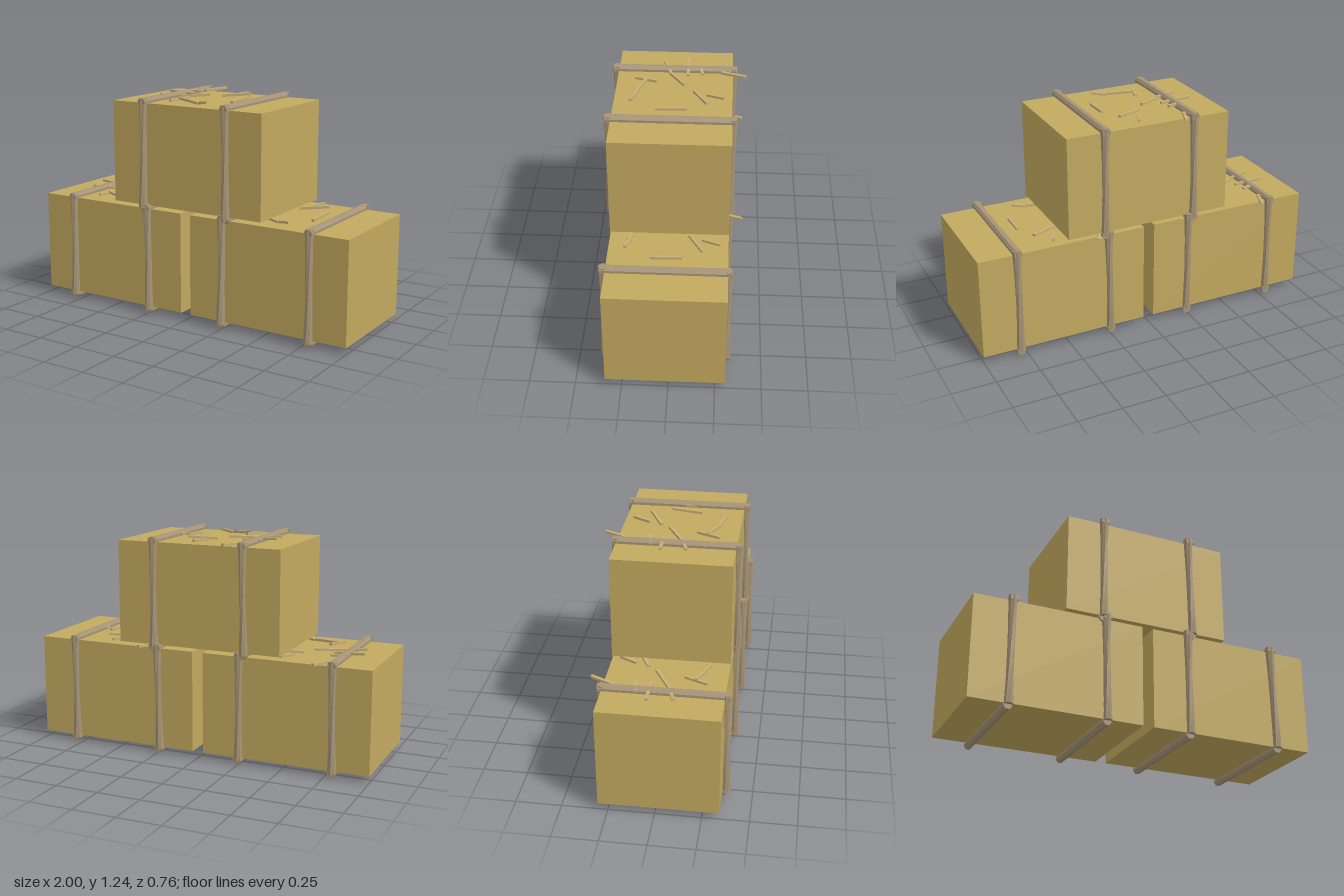
import * as THREE from 'three';

const hay = new THREE.MeshStandardMaterial({ color: 0xc2a95f });
hay.name = 'hay';
const cord = new THREE.MeshStandardMaterial({ color: 0xa69476 });
cord.name = 'cord';
const straw = new THREE.MeshStandardMaterial({ color: 0xc6ae74 });
straw.name = 'straw';

// Chamfered strap section, counter-clockwise, in (side, outward) units
const SECTION = [[-0.5, -0.5], [0.5, -0.5], [0.5, 0.05], [0.24, 0.5], [-0.24, 0.5], [-0.5, 0.05]];

// Faceted bar from a to b; it can twist along its length and narrow in the middle
function strapGeometry(a, b, outward, w, h, twist = 0, waist = 1) {
  const from = new THREE.Vector3(...a), to = new THREE.Vector3(...b);
  const dir = to.clone().sub(from).normalize();
  const side = new THREE.Vector3(...outward).cross(dir).normalize();
  const out = dir.clone().cross(side);
  const steps = twist ? 6 : 1, n = SECTION.length;
  const pos = [], index = [];
  for (let k = 0; k <= steps; k++) {
    const t = k / steps;
    const angle = twist * (t - 0.5);
    const s = 1 - (1 - waist) * Math.sin(Math.PI * t);
    const c = Math.cos(angle), d = Math.sin(angle);
    const centre = from.clone().lerp(to, t);
    for (const [u, v] of SECTION) {
      const x = u * w * s, y = v * h * s;
      const p = centre.clone().addScaledVector(side, x * c - y * d).addScaledVector(out, x * d + y * c);
      pos.push(p.x, p.y, p.z);
    }
  }
  for (let k = 0; k < steps; k++) {
    for (let i = 0; i < n; i++) {
      const j = (i + 1) % n, p = k * n, q = p + n;
      index.push(p + i, p + j, q + j, p + i, q + j, q + i);
    }
  }
  const last = steps * n;
  for (let i = 1; i < n - 1; i++) index.push(0, i + 1, i, last, last + i, last + i + 1);
  const indexed = new THREE.BufferGeometry();
  indexed.setAttribute('position', new THREE.Float32BufferAttribute(pos, 3));
  indexed.setIndex(index);
  const geo = indexed.toNonIndexed();
  geo.computeVertexNormals();
  return geo;
}

// Loose straws: x, z of both ends, and height of both ends
const STRAWS = [
  [-0.237, -0.24, -0.182, -0.375, 0.63, 0.638],
  [-0.295, -0.117, -0.2, -0.134, 0.638, 0.638],
  [-0.37, -0.055, -0.195, -0.052, 0.642, 0.632],
  [-0.345, 0.08, -0.215, 0.043, 0.636, 0.63],
  [-0.225, 0.046, -0.08, -0.04, 0.628, 0.638],
  [0.0, -0.165, 0.042, -0.258, 0.628, 0.634],
  [-0.032, -0.093, 0.117, -0.17, 0.63, 0.642],
  [0.168, -0.06, 0.158, 0.11, 0.64, 0.628],
  [-0.165, 0.24, -0.12, 0.115, 0.63, 0.636],
  [-0.145, 0.174, 0.02, 0.235, 0.638, 0.628],
  [0.012, 0.225, 0.09, 0.25, 0.627, 0.638],
  [0.245, 0.01, 0.25, 0.06, 0.628, 0.632],
];

function createBale() {
  const bale = new THREE.Group();
  const add = (name, geometry, material) => {
    const mesh = new THREE.Mesh(geometry, material);
    mesh.name = name;
    bale.add(mesh);
    return mesh;
  };

  // Packed block
  add('hayBlock', new THREE.BoxGeometry(0.968, 0.58, 0.645), hay).position.set(0, 0.33, 0.018);

  // Two straps, each made of four bars around the block
  for (const [top, low] of [[-0.268, -0.274], [0.265, 0.27]]) {
    add('strapTop', strapGeometry([top, 0.632, 0.37], [top, 0.632, -0.325], [0, 1, 0], 0.046, 0.034), cord);
    add('strapBottom', strapGeometry([low, 0.021, 0.355], [low, 0.026, -0.325], [0, -1, 0], 0.046, 0.034), cord);
    add('strapFront', strapGeometry([low, 0.03, 0.361], [top, 0.645, 0.353], [0, 0, 1], 0.046, 0.038, 0.9, 0.75), cord);
    add('strapBack', strapGeometry([low, 0.03, -0.312], [top, 0.645, -0.31], [0, 0, -1], 0.046, 0.036, 0.9, 0.75), cord);
  }

  // Loose straws on top
  for (const [x0, z0, x1, z1, y0, y1] of STRAWS) {
    const a = new THREE.Vector3(x0, y0, z0), b = new THREE.Vector3(x1, y1, z1);
    const stalk = add('looseStraw', new THREE.BoxGeometry(0.017, 0.014, a.distanceTo(b)), straw);
    stalk.position.copy(a).lerp(b, 0.5);
    stalk.lookAt(b);
  }
  return bale;
}

export function createModel() {
  const model = new THREE.Group();
  model.name = 'hayBaleStack';
  const places = [['leftBale', 0.516, 0], ['rightBale', -0.516, 0], ['topBale', 0, 0.6]];
  for (const [name, x, y] of places) {
    const bale = createBale();
    bale.name = name;
    bale.position.set(x, y, 0);
    model.add(bale);
  }
  return model;
}
